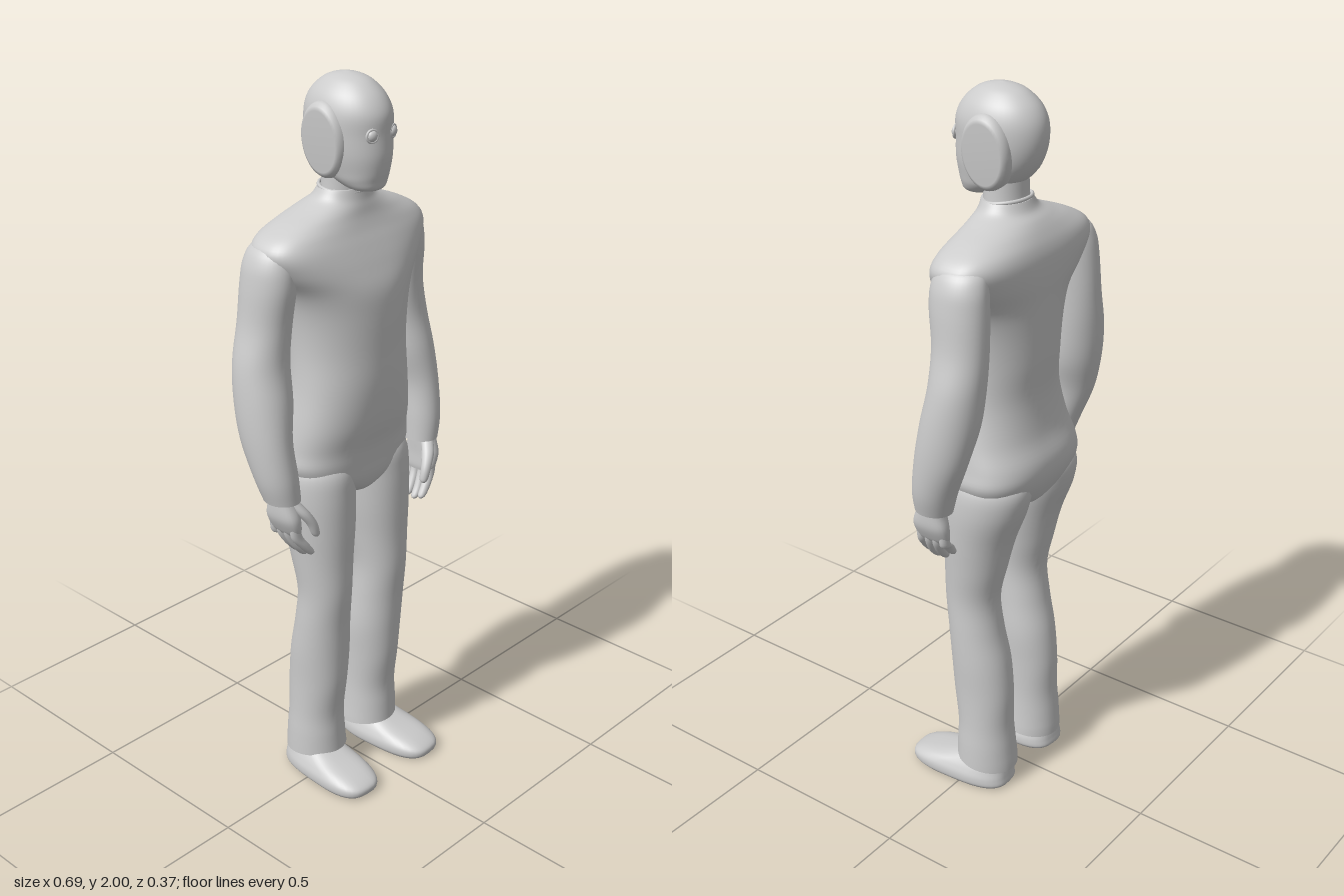
import * as THREE from 'three';

const material = new THREE.MeshStandardMaterial({ color: 0xcccccc });

function mesh(name, geometry) {
  const m = new THREE.Mesh(geometry, material);
  m.name = name;
  return m;
}

// Smooth loft through horizontal sections [y, cx, cz, rx, rz, power], listed bottom to top.
// side mirrors the centre line; a power above 2 makes a section boxier.
function loft(name, rows, { side = 1, power = 2, seg = 36, steps = 5 } = {}) {
  const pos = [], idx = [], rings = [];
  const last = rows.length - 1;
  const row = (i) => rows[Math.min(last, Math.max(0, i))];
  for (let i = 0; i <= last; i++) {
    for (let s = 0; s < (i < last ? steps : 1); s++) {
      const t = s / steps;
      rings.push(row(i).map((b, k) => {
        const a = row(i - 1)[k], c = row(i + 1)[k], d = row(i + 2)[k];
        return b + 0.5 * t * (c - a + t * (2 * a - 5 * b + 4 * c - d + t * (3 * (b - c) + d - a)));
      }));
    }
  }
  const addRing = ([y, cx, cz, rx, rz, p = power]) => {
    const bend = (v) => Math.sign(v) * Math.abs(v) ** (2 / p);
    for (let i = 0; i < seg; i++) {
      const a = (i / seg) * Math.PI * 2;
      pos.push(side * cx + rx * bend(Math.cos(a)), y, cz + rz * bend(Math.sin(a)));
    }
  };
  rings.forEach(addRing);
  for (let j = 0; j < rings.length - 1; j++) {
    for (let i = 0; i < seg; i++) {
      const a = j * seg + i, b = j * seg + ((i + 1) % seg);
      idx.push(a, a + seg, b, b, a + seg, b + seg);
    }
  }
  // End caps with their own vertices, so the rims stay crisp
  [rings[0], rings[rings.length - 1]].forEach((r, top) => {
    const start = pos.length / 3;
    addRing(r);
    pos.push(side * r[1], r[0], r[2]);
    for (let i = 0; i < seg; i++) {
      const a = start + i, b = start + ((i + 1) % seg);
      idx.push(start + seg, top ? b : a, top ? a : b);
    }
  });
  const g = new THREE.BufferGeometry();
  g.setAttribute('position', new THREE.Float32BufferAttribute(pos, 3));
  g.setIndex(idx);
  g.computeVertexNormals();
  return mesh(name, g);
}

const TORSO = [
  [0.865, 0, -0.035, 0.02, 0.05, 2], [0.89, 0, -0.038, 0.075, 0.095, 2.2], [0.93, 0, -0.043, 0.17, 0.118, 2.5],
  [0.98, 0, -0.05, 0.207, 0.13, 2.6], [1.03, 0, -0.047, 0.204, 0.133, 2.5], [1.10, 0, -0.027, 0.194, 0.13, 2.3],
  [1.20, 0, -0.015, 0.178, 0.13, 2.1], [1.30, 0, -0.018, 0.172, 0.136, 2], [1.40, 0, -0.02, 0.18, 0.14, 2],
  [1.47, 0, -0.024, 0.202, 0.139, 2.1], [1.53, 0, -0.036, 0.248, 0.131, 2.4], [1.58, 0, -0.046, 0.274, 0.12, 2.6],
  [1.615, 0, -0.05, 0.255, 0.108, 2.6], [1.645, 0, -0.048, 0.2, 0.095, 2.3], [1.67, 0, -0.042, 0.135, 0.083, 2.1],
  [1.69, 0, -0.034, 0.092, 0.07, 2], [1.715, 0, -0.03, 0.072, 0.062, 2],
];
const HEAD = [
  [1.715, 0, 0.053, 0.018, 0.018], [1.724, 0, 0.046, 0.048, 0.046], [1.745, 0, 0.026, 0.067, 0.073],
  [1.77, 0, 0.008, 0.077, 0.098], [1.81, 0, -0.005, 0.087, 0.117], [1.86, 0, -0.014, 0.092, 0.125],
  [1.91, 0, -0.014, 0.091, 0.125], [1.95, 0, -0.015, 0.078, 0.106], [1.98, 0, -0.015, 0.053, 0.073],
  [1.994, 0, -0.015, 0.03, 0.041], [2.0, 0, -0.015, 0.004, 0.006],
];
const ARM = [
  [0.935, 0.271, 0.004, 0.046, 0.053], [1.0, 0.28, -0.008, 0.055, 0.063], [1.10, 0.285, -0.035, 0.061, 0.075],
  [1.20, 0.273, -0.055, 0.073, 0.08], [1.30, 0.263, -0.07, 0.073, 0.075], [1.40, 0.248, -0.07, 0.065, 0.076],
  [1.50, 0.24, -0.062, 0.063, 0.081], [1.56, 0.234, -0.06, 0.058, 0.077], [1.60, 0.22, -0.058, 0.047, 0.062],
  [1.622, 0.2, -0.056, 0.015, 0.02],
];
const LEG = [
  [0.07, 0.106, -0.043, 0.083, 0.089], [0.13, 0.108, -0.042, 0.079, 0.085], [0.20, 0.108, -0.04, 0.075, 0.081],
  [0.30, 0.107, -0.033, 0.075, 0.088], [0.40, 0.107, -0.024, 0.078, 0.086], [0.50, 0.11, -0.01, 0.075, 0.078],
  [0.60, 0.111, 0, 0.073, 0.077], [0.70, 0.11, -0.01, 0.083, 0.088], [0.80, 0.108, -0.022, 0.095, 0.102],
  [0.90, 0.107, -0.041, 0.104, 0.12], [0.97, 0.103, -0.048, 0.101, 0.119], [1.02, 0.1, -0.045, 0.07, 0.08],
];
const SHOE = [
  [0, 0, 0.03, 0.07, 0.147], [0.011, 0, 0.03, 0.077, 0.157], [0.03, 0, 0.029, 0.077, 0.154],
  [0.048, 0, 0.012, 0.07, 0.134], [0.066, 0, -0.02, 0.06, 0.098], [0.085, 0, -0.045, 0.048, 0.064],
];
const PALM = [
  [0.84, 0.262, 0.012, 0.016, 0.042], [0.855, 0.266, 0.012, 0.022, 0.051], [0.89, 0.274, 0.012, 0.029, 0.053],
  [0.93, 0.275, 0.01, 0.031, 0.042], [0.97, 0.274, 0.004, 0.03, 0.035],
];
const THUMB = [
  [0.828, 0.214, 0.07, 0.005, 0.006], [0.838, 0.216, 0.07, 0.012, 0.012], [0.87, 0.227, 0.068, 0.015, 0.014],
  [0.905, 0.248, 0.055, 0.018, 0.018], [0.935, 0.266, 0.035, 0.017, 0.018],
];

function hand(side) {
  const g = new THREE.Group();
  g.name = 'hand';
  g.add(loft('palm', PALM, { side, power: 2.4, seg: 24 }));
  g.add(loft('thumb', THUMB, { side, seg: 14 }));
  // Four curled fingers: [z, tip height]
  [[0.049, 0.772], [0.024, 0.763], [-0.001, 0.766], [-0.025, 0.785]].forEach(([z, tip]) => {
    g.add(loft('finger', [
      [tip, 0.22, z + 0.008, 0.005, 0.005], [tip + 0.009, 0.225, z + 0.008, 0.013, 0.011],
      [tip + 0.035, 0.245, z + 0.005, 0.016, 0.0125], [0.835, 0.264, z, 0.017, 0.013],
      [0.87, 0.27, z, 0.016, 0.012],
    ], { side, seg: 14 }));
  });
  return g;
}

// Oval ear cover, leaning in towards the jaw
function earCover(side) {
  const profile = [[0, -0.03], [1, -0.03], [1, 0], [0.97, 0.01], [0.9, 0.018], [0.8, 0.022], [0, 0.022]]
    .map(([r, y]) => new THREE.Vector2(r, y));
  const g = new THREE.LatheGeometry(profile, 40);
  g.scale(0.098, 1, 0.07);
  g.rotateZ(-side * (Math.PI / 2 + 0.09));
  g.translate(side * 0.076, 1.842, -0.022);
  return mesh('earCover', g);
}

// Round eye with a raised rim
function eye(side) {
  const g = new THREE.Group();
  g.name = 'eye';
  const ball = mesh('eyeball', new THREE.SphereGeometry(0.014, 20, 14));
  ball.scale.z = 0.7;
  g.add(ball, mesh('eyeRim', new THREE.TorusGeometry(0.0155, 0.0035, 8, 24)));
  g.position.set(side * 0.037, 1.865, 0.101);
  g.rotation.y = side * 0.3;
  return g;
}

function trouserLeg(side) {
  const leg = loft('leg', LEG, { side });
  // Hem is raised at the front
  const p = leg.geometry.attributes.position;
  for (let i = 0; i < p.count; i++) {
    if (p.getY(i) < 0.075) p.setY(i, p.getY(i) + p.getZ(i) * 0.12);
  }
  leg.geometry.computeVertexNormals();
  return leg;
}

export function createModel() {
  const model = new THREE.Group();
  model.name = 'standingFigure';
  model.add(loft('torso', TORSO, { seg: 64 }));
  model.add(loft('neck', [
    [1.68, 0, -0.03, 0.066, 0.058], [1.73, 0, -0.027, 0.062, 0.056], [1.80, 0, -0.025, 0.06, 0.058],
  ]));
  model.add(loft('head', HEAD, { seg: 48 }));

  const collar = mesh('collar', new THREE.TorusGeometry(0.068, 0.005, 10, 40));
  collar.geometry.rotateX(Math.PI / 2).scale(1, 1, 0.88);
  collar.position.set(0, 1.713, -0.03);
  collar.rotation.x = 0.12;
  model.add(collar);

  for (const side of [1, -1]) {
    model.add(earCover(side), eye(side), loft('arm', ARM, { side }), hand(side), trouserLeg(side));
    const shoe = loft('shoe', SHOE, { power: 2.9 });
    shoe.position.x = side * 0.12;
    shoe.rotation.y = side * 0.07;
    model.add(shoe);
  }
  return model;
}
